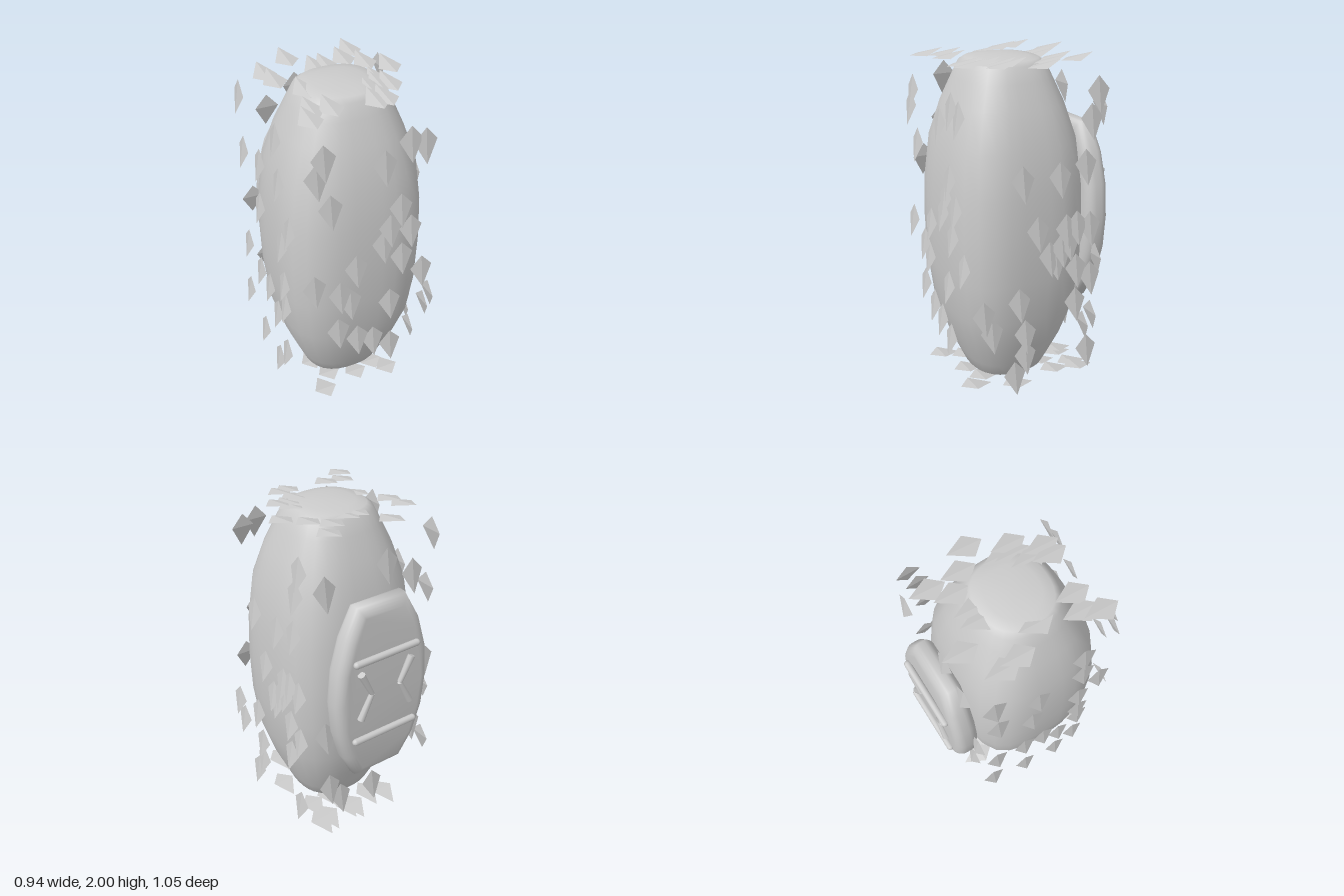
import * as THREE from 'three';
import { mergeVertices, mergeGeometries, toCreasedNormals } from 'three/addons/utils/BufferGeometryUtils.js';

const grey = new THREE.MeshStandardMaterial({ color: 0xcccccc });
const faceted = new THREE.MeshStandardMaterial({ color: 0xcccccc, flatShading: true, side: THREE.DoubleSide });

function addMesh(parent, name, geometry, material = grey) {
  const mesh = new THREE.Mesh(geometry, material);
  mesh.name = name;
  parent.add(mesh);
  return mesh;
}

// Barrel body: a lathe squared off into a superellipse, rounder towards both ends
function bodyGeometry() {
  const half = [[0, 0.003], [0.08, 0.006], [0.15, 0.012], [0.21, 0.022], [0.243, 0.045], [0.28, 0.13],
    [0.338, 0.27], [0.402, 0.48], [0.432, 0.74]];
  const points = half.map(([r, y]) => new THREE.Vector2(r, y));
  points.push(new THREE.Vector2(0.44, 1));
  for (const [r, y] of [...half].reverse()) points.push(new THREE.Vector2(r, 2 - y));
  let geometry = new THREE.LatheGeometry(points, 32);
  const p = geometry.attributes.position;
  for (let i = 0; i < p.count; i++) {
    const x = p.getX(i), z = p.getZ(i), r = Math.hypot(x, z);
    if (r < 1e-6) { p.setZ(i, 0.07); continue; }
    const c = x / r, s = z / r, n = 3.3 - 0.9 * Math.abs(p.getY(i) - 1) ** 3;
    const k = 1 / Math.pow(Math.pow(Math.abs(c), n) + Math.pow(Math.abs(s), n), 1 / n);
    p.setX(i, x * k);
    p.setZ(i, 0.072 + z * k * 0.955);
  }
  geometry.deleteAttribute('normal');
  geometry.deleteAttribute('uv');
  geometry = mergeVertices(geometry, 1e-5);
  geometry.computeVertexNormals();
  return geometry;
}

// Back plate: bulged outline with soft rims, thinning towards its upper and lower ends
function plateGeometry() {
  const b = 0.06;
  const right = [[0.13, -0.515], [0.2, -0.38], [0.25, -0.2], [0.268, 0], [0.25, 0.2], [0.2, 0.38], [0.13, 0.515]];
  const outline = [...right, ...[...right].reverse().map(([x, y]) => [-x, y])];
  const shape = new THREE.Shape(outline.map(([x, y]) => new THREE.Vector2(x, y)));
  const geometry = new THREE.ExtrudeGeometry(shape, {
    depth: 0.04, bevelEnabled: true, bevelThickness: 0.055, bevelSize: b, bevelSegments: 5,
  });
  geometry.translate(0, 0, -0.095);
  const p = geometry.attributes.position;
  for (let i = 0; i < p.count; i++) {
    p.setZ(i, p.getZ(i) * (1 - 0.2 * Math.pow(Math.abs(p.getY(i)) / 0.575, 4)));
  }
  geometry.translate(0, 1.005, -0.345);
  return toCreasedNormals(geometry, 1.3);
}

// Chevron arm: a tapered bar, thin at the inner point
function chevronArm(side, up) {
  const a = new THREE.Vector3(side * 0.1, 1.04, -0.502);
  const b = new THREE.Vector3(side * 0.178, 1.04 + up * 0.155, -0.502);
  const geometry = new THREE.CylinderGeometry(0.023, 0.016, a.distanceTo(b), 8);
  const dir = b.clone().sub(a).normalize();
  geometry.applyQuaternion(new THREE.Quaternion().setFromUnitVectors(new THREE.Vector3(0, 1, 0), dir));
  const mid = a.add(b).multiplyScalar(0.5);
  return geometry.translate(mid.x, mid.y, mid.z);
}

// Kite-shaped scale with one long ridge: the long tip (local -y) lifts off the surface
function scaleGeometry() {
  const T = [0, 0.08, 0], L = [-0.072, 0, 0], R = [0.072, 0, 0], B = [0, -0.13, 0.032];
  const faces = [T, L, B, T, B, R, T, R, L, L, R, B];
  const geometry = new THREE.BufferGeometry();
  geometry.setAttribute('position', new THREE.Float32BufferAttribute(faces.flat(), 3));
  geometry.computeVertexNormals();
  return geometry;
}

// Scales scattered on one flat side; place() turns a pair of coordinates into a position
function scaleField(parent, name, normal, up, place, spots) {
  const n = new THREE.Vector3(...normal), u = new THREE.Vector3(...up);
  const basis = new THREE.Matrix4().makeBasis(u.clone().cross(n), u, n);
  const base = scaleGeometry();
  const parts = spots.map(([a, b]) => base.clone().applyMatrix4(basis).translate(...place(a, b)));
  addMesh(parent, name, mergeGeometries(parts), faceted);
}

export function createModel() {
  const group = new THREE.Group();
  addMesh(group, 'body', bodyGeometry());

  // Plate with two bars and a facing pair of chevrons
  const plate = new THREE.Group();
  plate.name = 'backPlate';
  group.add(plate);
  addMesh(plate, 'plate', plateGeometry());
  for (const y of [0.74, 1.27]) {
    const bar = addMesh(plate, 'bar', new THREE.CapsuleGeometry(0.021, 0.42, 4, 12));
    bar.rotation.z = Math.PI / 2;
    bar.position.set(0, y, -0.503);
  }
  for (const side of [-1, 1]) {
    addMesh(plate, 'chevron', mergeGeometries([chevronArm(side, 1), chevronArm(side, -1)]));
  }

  // Scales on all six sides
  const scales = new THREE.Group();
  scales.name = 'scales';
  group.add(scales);
  scaleField(scales, 'frontScales', [0, 0, 1], [0, 1, 0], (x, y) => [x, y, 0.497], [
    [-0.29, 1.79], [-0.33, 1.69], [-0.25, 1.48], [0.22, 1.78], [0.31, 1.75], [0.07, 1.67], [0.18, 1.37],
    [0.12, 1.25], [0.25, 1.21], [0.08, 1.15], [0.2, 1.03], [-0.09, 1.03], [-0.35, 0.97], [0.34, 0.89],
    [-0.19, 0.87], [-0.125, 0.8], [0.135, 0.71], [-0.2, 0.6], [-0.075, 0.5], [0.03, 0.45], [0.15, 0.37]]);
  scaleField(scales, 'leftScales', [1, 0, 0], [0, 1, 0], (z, y) => [0.44, y, z], [
    [-0.3, 1.83], [-0.26, 1.68], [-0.23, 1.42], [0.18, 1.38], [-0.06, 1.37], [0.08, 1.07], [-0.11, 1.05],
    [-0.18, 1.06], [-0.27, 1.04], [-0.13, 0.97], [-0.08, 0.94], [0, 0.9], [-0.04, 0.87], [-0.18, 0.79],
    [-0.28, 0.72], [0.2, 0.65], [0.43, 0.62], [0.38, 0.5], [0.16, 0.44], [-0.18, 0.57], [0.16, 0.3],
    [0.23, 0.18], [-0.27, 0.23]]);
  scaleField(scales, 'rightScales', [-1, 0, 0], [0, 1, 0], (z, y) => [-0.44, y, z], [
    [-0.31, 1.83], [0.23, 1.82], [0.25, 1.56], [-0.29, 1.48], [-0.03, 1.53], [0.26, 1.15], [-0.06, 1.22],
    [-0.3, 0.8], [0.04, 0.69], [0.29, 0.72], [0.29, 0.36], [-0.33, 0.4], [-0.08, 0.25], [0.16, 0.57],
    [0.28, 0.88], [-0.1, 0.72], [0.38, 1.32], [0.16, 0.2]]);
  scaleField(scales, 'backScales', [0, 0, -1], [0, 1, 0], (x, y) => [x, y, -0.383], [
    [0.34, 1.72], [-0.07, 1.77], [0.34, 0.78], [0.31, 0.38], [0.23, 0.27], [-0.01, 0.26], [-0.37, 1.06],
    [-0.25, 1.66], [0.2, 1.3], [-0.18, 1.1], [0.1, 0.9], [-0.3, 0.6]]);
  scaleField(scales, 'topScales', [0, 1, 0], [0, 0, 1], (x, z) => [x, 1.968, z], [
    [-0.145, -0.3], [0.235, -0.265], [-0.33, -0.17], [-0.31, -0.07], [-0.04, -0.13], [0.025, -0.13],
    [0.15, -0.17], [0.24, -0.08], [0.345, 0.02], [-0.21, 0.1], [-0.27, 0.325], [-0.17, 0.345], [-0.32, 0.42],
    [0.08, 0.37], [0.14, 0.36], [0.24, 0.22], [0.2, 0.15], [0.18, 0.21], [0.11, 0.265]]);
  scaleField(scales, 'bottomScales', [0, -1, 0], [0, 0, 1], (x, z) => [x, 0.032, z], [
    [0.31, -0.28], [0.25, -0.27], [0.27, -0.13], [0.1, -0.25], [0.06, -0.28], [0.31, 0.16], [0.14, -0.1],
    [0.07, -0.06], [-0.08, -0.23], [-0.18, -0.28], [0, 0.34], [-0.08, 0.14], [-0.16, 0.28], [-0.22, 0.14],
    [0.13, 0.3], [-0.24, 0.4], [0.2, 0.39]]);
  return group;
}
